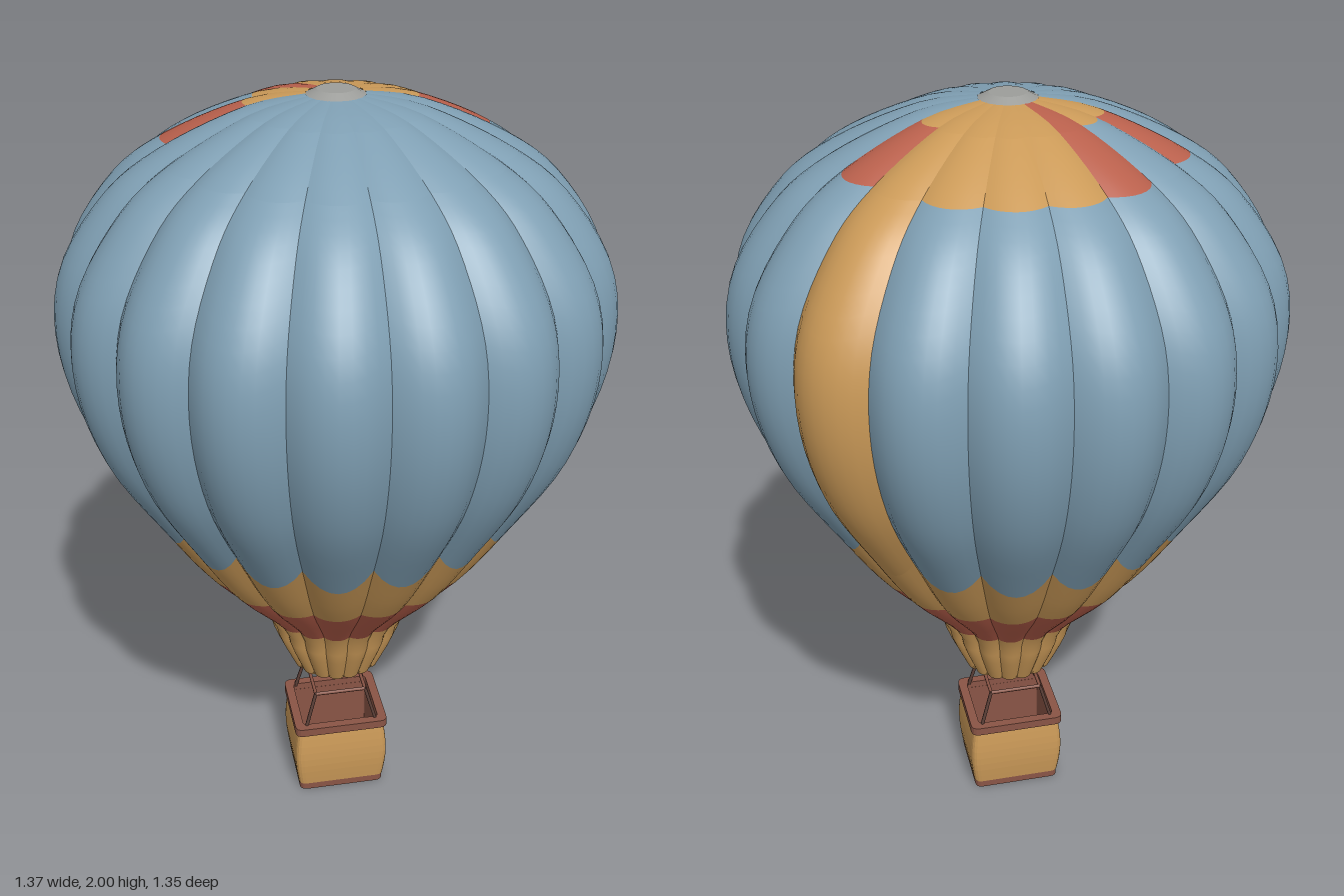
import * as THREE from 'three';
import { mergeGeometries } from 'three/addons/utils/BufferGeometryUtils.js';

const material = (name, color) =>
  new THREE.MeshStandardMaterial({ name, color, side: THREE.DoubleSide });

const GORES = 18;
const STEP = (Math.PI * 2) / GORES;

// Envelope profile (radius, height), from the mouth to the crown
const profile = new THREE.SplineCurve([
  [0.125, 0.4], [0.17, 0.5], [0.205, 0.59], [0.365, 0.77], [0.485, 0.95], [0.62, 1.18],
  [0.68, 1.4], [0.66, 1.6], [0.55, 1.77], [0.42, 1.87], [0.22, 1.96], [0.07, 1.988],
].map(([r, y]) => new THREE.Vector2(r, y)));
const LAST = profile.points.length - 1;

// One billowing panel of a gore; from and to give the profile position across its width
function gorePanel(gore, from, to, rows) {
  const cols = 8;
  const geometry = new THREE.PlaneGeometry(1, 1, cols, rows);
  const pos = geometry.attributes.position;
  for (let i = 0; i < pos.count; i++) {
    const across = pos.getX(i) * 2;
    const up = pos.getY(i) + 0.5;
    const seam = across * across;
    const v = THREE.MathUtils.lerp(from(seam), to(seam), up);
    const p = profile.getPoint(v / LAST);
    const r = p.x * (1 - 0.065 * seam);
    const a = (gore - across / 2) * STEP;
    pos.setXYZ(i, r * Math.cos(a), p.y, -r * Math.sin(a));
  }
  // The panel runs clockwise, so reverse the faces to look outward
  const index = geometry.index.array;
  for (let i = 0; i < index.length; i += 3) [index[i], index[i + 1]] = [index[i + 1], index[i]];
  geometry.computeVertexNormals();
  return geometry;
}

export function createModel() {
  const blue = material('blue cloth', 0x7f9fb3);
  const gold = material('gold cloth', 0xcb9a58);
  const red = material('red cloth', 0xb9604c);
  const brown = material('brown leather', 0x8a5546);
  const dark = material('dark rope', 0x5c4038);
  const grey = material('grey crown', 0x9c9d9a);

  const model = new THREE.Group();
  model.name = 'hotAirBalloon';
  const add = (name, geometry, mat, x = 0, y = 0, z = 0, parent = model) => {
    const mesh = new THREE.Mesh(geometry, mat);
    mesh.name = name;
    mesh.position.set(x, y, z);
    parent.add(mesh);
    return mesh;
  };

  // Envelope: bands of panels, each with a rule for its gore colours
  const at = (v) => () => v;
  const scallop = (seam) => 4 - 0.1 + 0.32 * seam;
  const bodyColour = (g) => (g === 2 ? gold : blue);
  const outerCap = (g) => {
    if (g >= 2 && g <= 5) return gold;
    return g === 6 || g === 8 || g === 1 ? red : blue;
  };
  const innerCap = (g) => {
    if (g === 6) return red;
    return g >= 1 && g <= 8 ? gold : blue;
  };
  const bands = [
    ['skirt', at(0), at(2), 5, () => gold],
    ['redBand', at(2), at(3), 4, () => red],
    ['goldBand', at(3), scallop, 4, () => gold],
    ['body', scallop, at(9), 22, bodyColour],
    ['outerCap', at(9), at(10), 5, outerCap],
    ['innerCap', at(10), at(LAST), 4, innerCap],
  ];
  const envelope = new THREE.Group();
  envelope.name = 'envelope';
  model.add(envelope);
  for (const [name, from, to, rows, colour] of bands) {
    const byColour = new Map();
    for (let g = 0; g < GORES; g++) {
      const mat = colour(g);
      if (!byColour.has(mat)) byColour.set(mat, []);
      byColour.get(mat).push(gorePanel(g, from, to, rows));
    }
    for (const [mat, panels] of byColour) {
      add(`${name} ${mat.name}`, mergeGeometries(panels), mat, 0, 0, 0, envelope);
    }
  }

  // Crown disc and the shallow closed mouth
  add('crown', new THREE.CylinderGeometry(0.045, 0.072, 0.014, 18), grey, 0, 1.993, 0);
  const mouth = [[0, 0.385], [0.08, 0.39], [0.125, 0.41]].map(([r, y]) => new THREE.Vector2(r, y));
  add('mouth', new THREE.LatheGeometry(mouth, 36), gold);

  // Basket: slightly bulging hollow wicker box with rim, lining and base
  const basket = new THREE.Group();
  basket.name = 'basket';
  basket.position.set(-0.004, 0, 0.004);
  model.add(basket);

  const roundedRect = (w, d, r, Type = THREE.Shape) => {
    const s = new Type();
    const x = w / 2, y = d / 2;
    s.moveTo(-x + r, -y).lineTo(x - r, -y).quadraticCurveTo(x, -y, x, -y + r);
    s.lineTo(x, y - r).quadraticCurveTo(x, y, x - r, y);
    s.lineTo(-x + r, y).quadraticCurveTo(-x, y, -x, y - r);
    s.lineTo(-x, -y + r).quadraticCurveTo(-x, -y, -x + r, -y);
    return s;
  };
  const slab = (w, d, r, height, wall, steps = 1) => {
    const shape = roundedRect(w, d, r);
    if (wall) shape.holes.push(roundedRect(w - wall * 2, d - wall * 2, r / 2, THREE.Path));
    const geometry = new THREE.ExtrudeGeometry(shape, {
      depth: height, steps, bevelEnabled: false, curveSegments: 4,
    });
    return geometry.rotateX(-Math.PI / 2);
  };
  const wallGeometry = slab(0.245, 0.215, 0.02, 0.185, 0.012, 8);
  const pos = wallGeometry.attributes.position;
  for (let i = 0; i < pos.count; i++) {
    const bulge = 1 + 0.07 * Math.sin((Math.PI * pos.getY(i)) / 0.185);
    pos.setX(i, pos.getX(i) * bulge);
    pos.setZ(i, pos.getZ(i) * bulge);
  }
  wallGeometry.computeVertexNormals();
  add('basketWall', wallGeometry, gold, 0, 0.022, 0, basket);
  add('basketLining', slab(0.221, 0.191, 0.01, 0.185, 0.004), brown, 0, 0.024, 0, basket);
  add('basketBase', slab(0.24, 0.215, 0.02, 0.024, 0), brown, 0, 0.002, 0, basket);
  add('basketRim', slab(0.262, 0.232, 0.022, 0.024, 0.024), brown, 0, 0.205, 0, basket);

  // Burner frame and its corner ropes
  const rod = (name, a, b, radius, mat) => {
    const path = new THREE.LineCurve3(new THREE.Vector3(...a), new THREE.Vector3(...b));
    add(name, new THREE.TubeGeometry(path, 1, radius, 6), mat, 0, 0, 0, basket);
  };
  for (const s of [-1, 1]) {
    rod('frameBar', [-0.07, 0.328, s * 0.085], [0.07, 0.328, s * 0.085], 0.005, brown);
    rod('frameBar', [s * 0.07, 0.328, -0.085], [s * 0.07, 0.328, 0.085], 0.005, brown);
    for (const t of [-1, 1]) {
      rod('cornerRope', [s * 0.1, 0.22, t * 0.095], [s * 0.07, 0.33, t * 0.085], 0.005, dark);
    }
  }
  return model;
}
